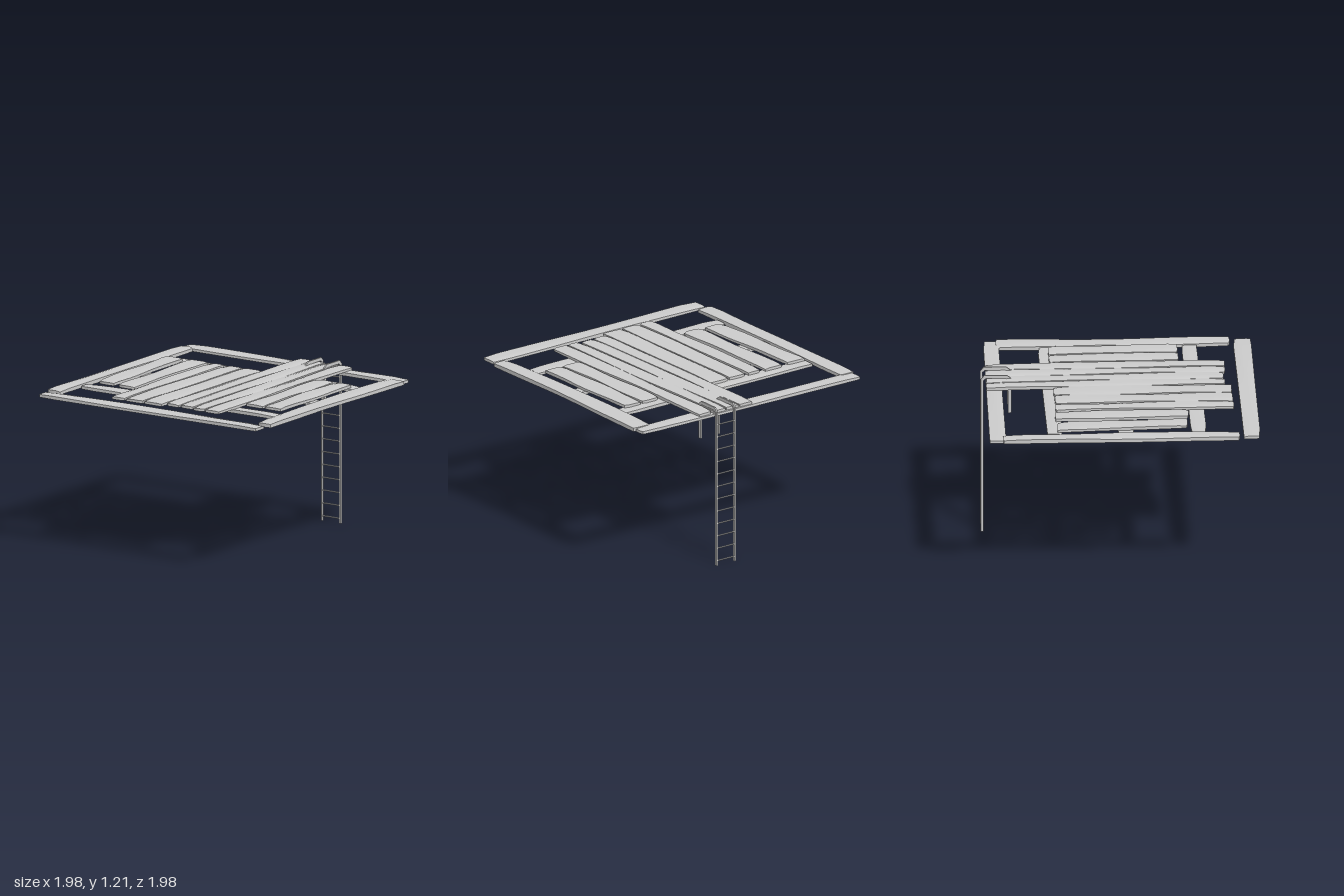
import * as THREE from 'three';

const material = new THREE.MeshStandardMaterial({ color: 0xcccccc, side: THREE.DoubleSide });

// Hewn board through four corners [x, z], with chamfered edges and worn ends.
// a, b = start corners, c, d = end corners; a-c and b-d are the long sides.
function board(name, [a, b, c, d], y0, y1, seed, bow = 0) {
  const N = 14, M = 4;
  const geo = new THREE.BoxGeometry(1, 1, 1, N, 2, M);
  const p = geo.attributes.position;
  const mix = THREE.MathUtils.lerp;
  for (let i = 0; i < p.count; i++) {
    const u = p.getX(i) + 0.5, t = p.getY(i) * 2, v = p.getZ(i) + 0.5;
    const edge = Math.abs(v - 0.5) > 0.49, end = Math.abs(u - 0.5) > 0.49;
    // slight waviness of the sides and a curved cut at the ends
    const wave = 0.004 * Math.sin(u * 9 + seed * 2.3 + v * 4) * Math.sin(Math.PI * u);
    let x = mix(mix(a[0], c[0], u), mix(b[0], d[0], u), v);
    let z = mix(mix(a[1], c[1], u), mix(b[1], d[1], u), v) + wave - bow * Math.sin(Math.PI * u);
    let y = mix(y0, y1, (t + 1) / 2);
    // chamfers and worn corners
    if (edge && t > 0.5) y -= 0.003 + 0.003 * Math.sin(u * 7 + seed * 1.7 + v * 3);
    if (end && t > 0.5) y -= 0.004;
    if (end && edge) {
      const wear = 0.006 + 0.006 * Math.sin(seed * 5.1 + u * 3 + v * 8);
      x += (a[0] + b[0] + c[0] + d[0] > 4 * x ? 1 : -1) * wear;
      z += (a[1] + b[1] + c[1] + d[1] > 4 * z ? 1 : -1) * wear * 0.5;
    }
    p.setXYZ(i, x, y, z);
  }
  geo.computeVertexNormals();
  const mesh = new THREE.Mesh(geo, material);
  mesh.name = name;
  return mesh;
}

// Board running along x: [x0, x1, z range at x0, z range at x1]
const alongX = ([x0, x1, z0, z1, z2, z3]) => [[x0, z0], [x0, z1], [x1, z2], [x1, z3]];
// Board running along z: [z0, z1, x range at z0, x range at z1], larger x first
const alongZ = ([z0, z1, x0, x1, x2, x3]) => [[x1, z0], [x0, z0], [x3, z1], [x2, z1]];

export function createModel() {
  const model = new THREE.Group();
  model.name = 'woodenPlatform';
  const LOW = 1.135, MID = 1.16, TOP = 1.184;

  // Outer frame
  const frame = new THREE.Group();
  frame.name = 'outerFrame';
  frame.add(
    board('frameBeamRight', alongZ([-0.95, 0.96, -0.995, -0.875, -0.98, -0.85]), LOW, MID, 1),
    board('frameBeamLeft', alongZ([-0.985, 0.955, 0.84, 0.96, 0.84, 0.95]), LOW, MID, 2),
    board('frameBeamBack', alongX([-0.845, 0.86, -0.98, -0.865, -1, -0.885]), LOW, MID + 0.006, 3),
    board('frameBeamFront', alongX([-0.825, 0.86, 0.865, 0.985, 0.825, 0.975]), LOW, MID + 0.006, 4, 0.015)
  );
  model.add(frame);

  // Joists under the deck
  const joists = new THREE.Group();
  joists.name = 'joists';
  [
    [-0.855, 0.84, -0.61, -0.497, -0.585, -0.476],
    [-0.865, 0.835, -0.09, 0.029, -0.072, 0.036],
    [-0.865, 0.825, 0.43, 0.54, 0.445, 0.561],
  ].forEach((r, i) => joists.add(board('joist' + (i + 1), alongZ(r), LOW, MID, i + 5)));
  model.add(joists);

  // Deck planks from back to front
  const deck = new THREE.Group();
  deck.name = 'deck';
  [
    [-0.475, 0.465, -0.79, -0.65, -0.85, -0.70],
    [-0.487, 0.475, -0.606, -0.463, -0.638, -0.493],
    [-0.82, 0.468, -0.425, -0.314, -0.457, -0.346],
    [-0.815, 0.468, -0.303, -0.154, -0.324, -0.176],
    [-0.812, 0.473, -0.144, -0.01 + 0.02, -0.165, -0.01],
    [-0.768, 0.955, 0.022, 0.128, -0.016, 0.09],
    [-0.76, 0.95, 0.134, 0.25, 0.096, 0.207],
    [-0.775, 0.955, 0.26, 0.362, 0.213, 0.324],
    [-0.775, 0.95, 0.372, 0.49, 0.335, 0.447],
    [-0.446, 0.488, 0.50, 0.644, 0.473, 0.617],
    [-0.444, 0.488, 0.654, 0.803, 0.633, 0.777],
  ].forEach((r, i) => deck.add(board('plank' + (i + 1), alongX(r), MID, TOP, i + 9)));
  model.add(deck);

  // Ladder: two hooked side rails and twelve rungs
  const ladder = new THREE.Group();
  ladder.name = 'ladder';
  const outline = [
    [0.99, 0], [0.99, 1.18], [0.965, 1.21], [0.8, 1.21], [0.77, 1.183], [0.77, 0.92],
    [0.794, 0.92], [0.794, 1.175], [0.808, 1.186], [0.955, 1.186], [0.971, 1.172], [0.971, 0],
  ].map(([x, y]) => new THREE.Vector2(x, y));
  const railGeo = new THREE.ExtrudeGeometry(new THREE.Shape(outline), { depth: 0.012, bevelEnabled: false });
  for (const z of [0.158, 0.32]) {
    const rail = new THREE.Mesh(railGeo, material);
    rail.name = z < 0.2 ? 'ladderRailBack' : 'ladderRailFront';
    rail.position.z = z - 0.006;
    ladder.add(rail);
  }
  const rungGeo = new THREE.CylinderGeometry(0.0055, 0.0055, 0.162, 8).rotateX(Math.PI / 2);
  for (let i = 0; i < 12; i++) {
    const rung = new THREE.Mesh(rungGeo, material);
    rung.name = 'rung' + (i + 1);
    rung.position.set(0.981, 0.036 + i * 0.095, 0.239);
    ladder.add(rung);
  }
  model.add(ladder);
  return model;
}
